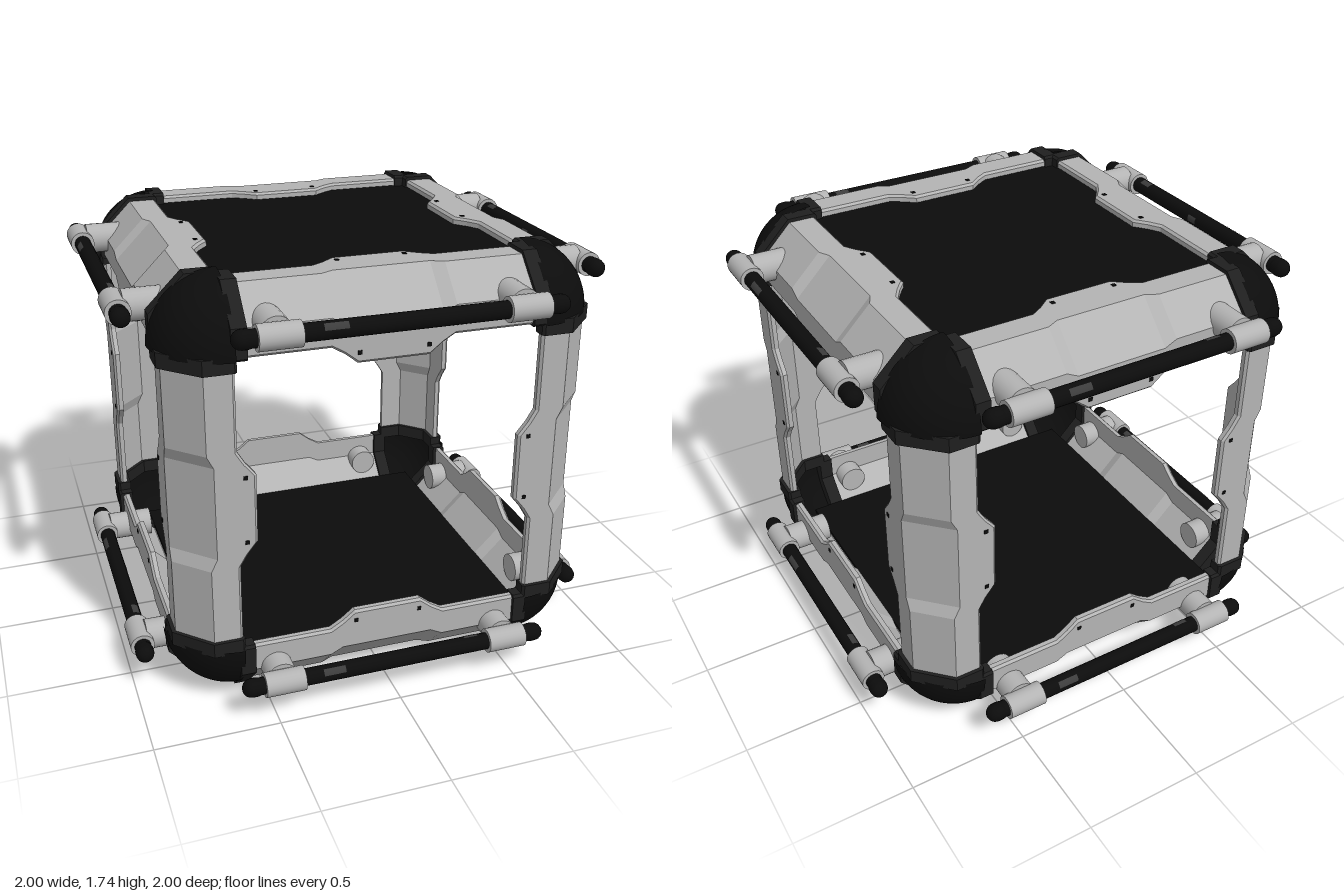
import * as THREE from 'three';

const mat = (name, color, side = THREE.FrontSide) => {
  const m = new THREE.MeshStandardMaterial({ color, side });
  m.name = name;
  return m;
};

// Angled channel section: two flanges joined by a chamfer
// e = flange edge, o = outer face, c = start of chamfer, t = wall thickness
function channelSection(e, o, c, t) {
  const b = 0.01, i = o - t, ci = c - 0.41 * t;
  return [[e, o - b], [e + b, o], [c, o], [o, c], [o, e + b], [o - b, e],
    [i, e], [i, e + b], [i, ci], [ci, i], [e + b, i], [e, i]];
}

// Lofts sections along y with flat faces and closed ends
function loft(stations) {
  const pos = [];
  const rings = stations.map(([y, sec]) => sec.map(([x, z]) => [x, y, z]));
  const quad = (a, b, c, d) => pos.push(...a, ...b, ...c, ...a, ...c, ...d);
  const n = rings[0].length;
  for (let k = 0; k < rings.length - 1; k++) {
    const lo = rings[k], hi = rings[k + 1];
    for (let j = 0; j < n; j++) {
      const m = (j + 1) % n;
      quad(lo[j], lo[m], hi[m], hi[j]);
    }
  }
  const first = rings[0], last = rings[rings.length - 1];
  for (let j = 0; j < n / 2 - 1; j++) {
    const ids = [j, j + 1, n - 2 - j, n - 1 - j];
    quad(...ids.map(i => last[i]));
    quad(...ids.reverse().map(i => first[i]));
  }
  const g = new THREE.BufferGeometry();
  g.setAttribute('position', new THREE.Float32BufferAttribute(pos, 3));
  g.computeVertexNormals();
  return g;
}

export function createModel() {
  const model = new THREE.Group();
  model.name = 'cubeFrame';
  const frame = new THREE.Group();
  frame.name = 'frame';
  frame.position.y = 0.87;
  model.add(frame);

  const grey = mat('light grey metal', 0xb4b4b4);
  const black = mat('black rubber', 0x0c0c0c, THREE.DoubleSide);
  const dark = mat('worn dark grey', 0x1f1f1f);
  const worn = mat('scuffed grey', 0x3c3c3c);

  const add = (parent, name, geo, material, x = 0, y = 0, z = 0) => {
    const m = new THREE.Mesh(geo, material);
    m.name = name;
    m.position.set(x, y, z);
    parent.add(m);
    return m;
  };

  // Beam outline: the flanges widen to a tab in the middle
  const half = [[0.14, 0.53, 0.69], [0.19, 0.57, 0.69], [0.24, 0.6, 0.715], [0.6, 0.6, 0.715]];
  const stations = [...half.slice().reverse().map(([s, e, c]) => [-s, e, c]), ...half];
  const beamGeo = loft(stations.map(([s, e, c]) => [s, channelSection(e, 0.842, c, 0.03)]));
  const collarSec = channelSection(0.594, 0.857, 0.72, 0.06);
  const collarGeo = loft([[0.555, collarSec], [0.615, collarSec]]);
  const screwGeo = new THREE.BoxGeometry(0.016, 0.016, 0.008);

  // Twelve beams: four per axis
  const axes = [[0, 0, 0], [0, 0, Math.PI / 2], [Math.PI / 2, 0, 0]];
  for (const rot of axes) {
    const set = new THREE.Group();
    set.name = 'beamSet';
    set.rotation.set(...rot);
    frame.add(set);
    for (let q = 0; q < 4; q++) {
      const edge = new THREE.Group();
      edge.name = 'edgeBeam';
      edge.rotation.y = q * Math.PI / 2;
      set.add(edge);
      add(edge, 'beam', beamGeo, grey);
      for (const s of [-1, 1]) {
        const low = s < 0 ? -1.17 : 0;
        add(edge, 'cornerCollar', collarGeo, dark, 0, low, 0);
        add(edge, 'screw', screwGeo, black, 0.573, s * 0.135, 0.841);
        add(edge, 'screw', screwGeo, black, 0.841, s * 0.135, 0.573).rotation.y = Math.PI / 2;
      }
    }
  }

  // Rounded corner guards: one eighth of a sphere each
  const cornerGeo = new THREE.SphereGeometry(0.27, 16, 16, 0, Math.PI / 2, 0, Math.PI / 2);
  for (const flip of [0, Math.PI]) {
    const set = new THREE.Group();
    set.name = flip ? 'lowerCorners' : 'upperCorners';
    set.rotation.x = flip;
    frame.add(set);
    for (let q = 0; q < 4; q++) {
      const turn = new THREE.Group();
      turn.name = 'corner';
      turn.rotation.y = q * Math.PI / 2;
      set.add(turn);
      add(turn, 'cornerGuard', cornerGeo, black, -0.6, 0.6, 0.6);
    }
  }

  // Top and bottom panels behind the flanges
  const panelGeo = new THREE.BoxGeometry(1.4, 0.018, 1.4);
  add(frame, 'topPanel', panelGeo, black, 0, 0.8, 0);
  add(frame, 'bottomPanel', panelGeo, black, 0, -0.8, 0);

  // Hand rails on the four sides, upper and lower
  const rodGeo = new THREE.CylinderGeometry(0.034, 0.034, 1.2, 20).rotateZ(Math.PI / 2);
  const capGeo = new THREE.CapsuleGeometry(0.037, 0.02, 4, 20).rotateZ(Math.PI / 2);
  const sleeveGeo = new THREE.CylinderGeometry(0.049, 0.049, 0.16, 24).rotateZ(Math.PI / 2);
  const stemGeo = new THREE.CylinderGeometry(0.062, 0.062, 0.19, 24).rotateX(Math.PI / 2);
  const scuffs = [[-0.27, 0.09, 0.3], [-0.05, 0.05, 2.6], [0.2, 0.07, 4.4], [0.32, 0.06, 1.5]];
  const scuffGeos = scuffs.map(([x, len, a]) =>
    new THREE.CylinderGeometry(0.0352, 0.0352, len, 6, 1, true, a, 0.8)
      .rotateZ(Math.PI / 2).translate(x, 0, 0));
  for (let q = 0; q < 4; q++) {
    const sideGroup = new THREE.Group();
    sideGroup.name = 'sideRails';
    sideGroup.rotation.y = q * Math.PI / 2;
    frame.add(sideGroup);
    for (const v of [-1, 1]) {
      const rail = new THREE.Group();
      rail.name = v > 0 ? 'upperRail' : 'lowerRail';
      rail.position.set(0, v * 0.715, 0.951);
      sideGroup.add(rail);
      add(rail, 'rod', rodGeo, black);
      scuffGeos.forEach(g => add(rail, 'scuff', g, worn));
      for (const s of [-1, 1]) {
        add(rail, 'rodCap', capGeo, black, s * 0.592);
        add(rail, 'sleeve', sleeveGeo, grey, s * 0.47);
        add(rail, 'stem', stemGeo, grey, s * 0.47, 0, -0.12);
      }
    }
  }
  return model;
}
